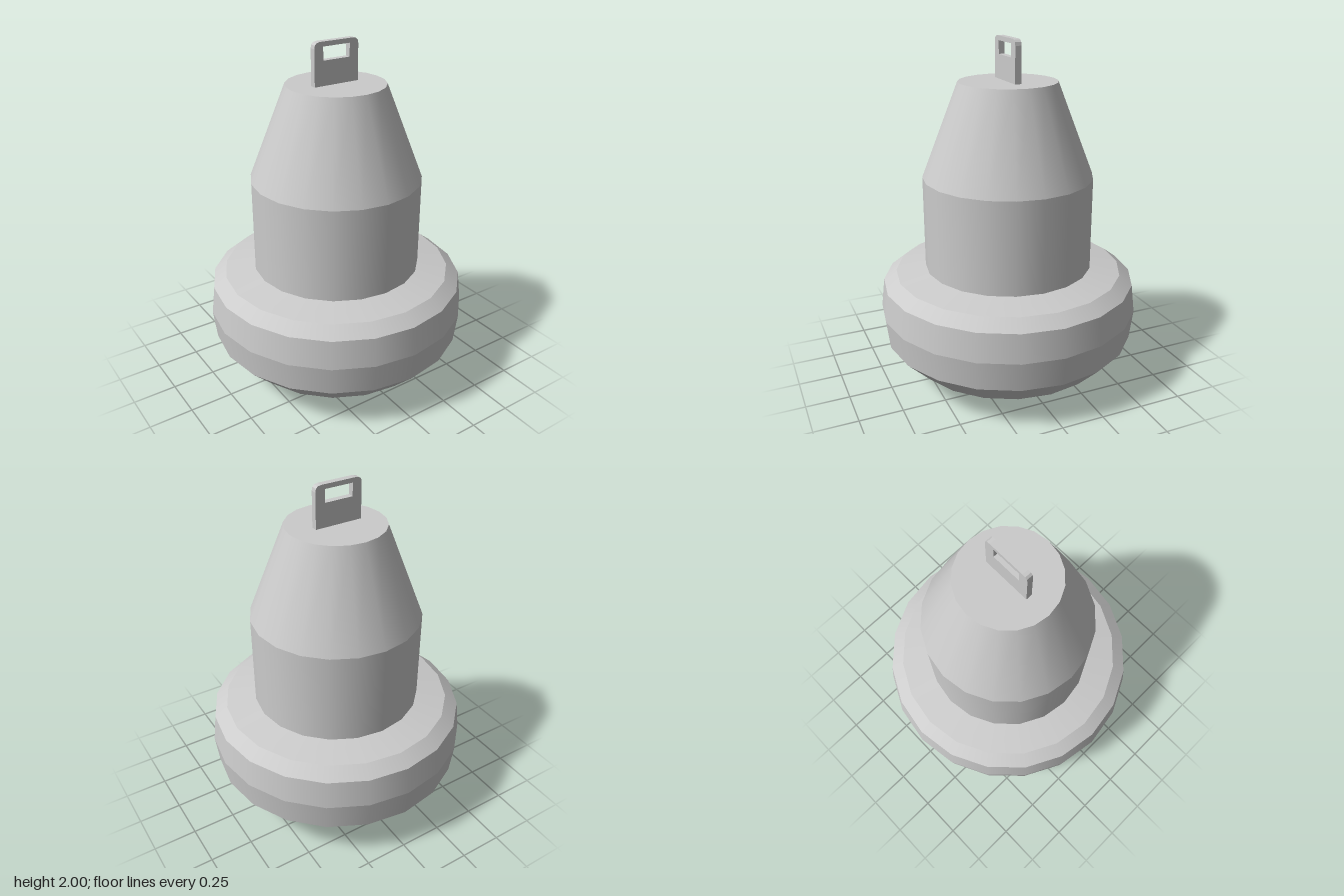
import * as THREE from 'three';
import { mergeGeometries } from 'three/addons/utils/BufferGeometryUtils.js';

const SIDES = 20;

// Stack of conical bands, smooth around the axis with a hard edge at each ring.
// The first and last rings are closed with flat discs.
function bandedBody(profile) {
  const parts = [];
  for (let i = 0; i < profile.length - 1; i++) {
    const [r0, y0] = profile[i];
    const [r1, y1] = profile[i + 1];
    const band = new THREE.CylinderGeometry(r1, r0, y1 - y0, SIDES, 1, true);
    parts.push(band.translate(0, (y0 + y1) / 2, 0));
  }
  const [rBottom, yBottom] = profile[0];
  const [rTop, yTop] = profile[profile.length - 1];
  parts.push(new THREE.CircleGeometry(rBottom, SIDES).rotateX(Math.PI / 2).translate(0, yBottom, 0));
  parts.push(new THREE.CircleGeometry(rTop, SIDES).rotateX(-Math.PI / 2).translate(0, yTop, 0));
  return mergeGeometries(parts);
}

// Flat plate with rounded top corners and a rectangular slot
function liftingEyeGeometry() {
  const left = -0.146, right = 0.134, bottom = 1.75, top = 2, r = 0.034, depth = 0.036;
  const plate = new THREE.Shape();
  plate.moveTo(left, bottom);
  plate.lineTo(right, bottom);
  plate.lineTo(right, top - r);
  plate.quadraticCurveTo(right, top, right - r, top);
  plate.lineTo(left + r, top);
  plate.quadraticCurveTo(left, top, left, top - r);
  plate.closePath();

  const slot = new THREE.Path();
  slot.moveTo(-0.091, 1.9);
  slot.lineTo(-0.091, 1.974);
  slot.lineTo(0.078, 1.974);
  slot.lineTo(0.078, 1.9);
  slot.closePath();
  plate.holes.push(slot);

  return new THREE.ExtrudeGeometry(plate, { depth, bevelEnabled: false, curveSegments: 3 })
    .translate(0, 0, -depth / 2 - 0.002);
}

export function createModel() {
  const model = new THREE.Group();
  model.name = 'buoy';
  const material = new THREE.MeshStandardMaterial({ color: 0xcccccc });
  const add = (name, geometry) => {
    const mesh = new THREE.Mesh(geometry, material);
    mesh.name = name;
    model.add(mesh);
  };

  // Bulging float with a tapered underside
  add('float', bandedBody([
    [0.33, 0], [0.6, 0.12], [0.74, 0.265], [0.76, 0.435],
    [0.74, 0.6], [0.665, 0.657], [0.49, 0.688],
  ]));

  // Straight drum narrowing to a cone
  add('tower', bandedBody([[0.49, 0.688], [0.49, 1.226], [0.28, 1.764]]));

  // Lifting eye on top
  add('liftingEye', liftingEyeGeometry());

  return model;
}
